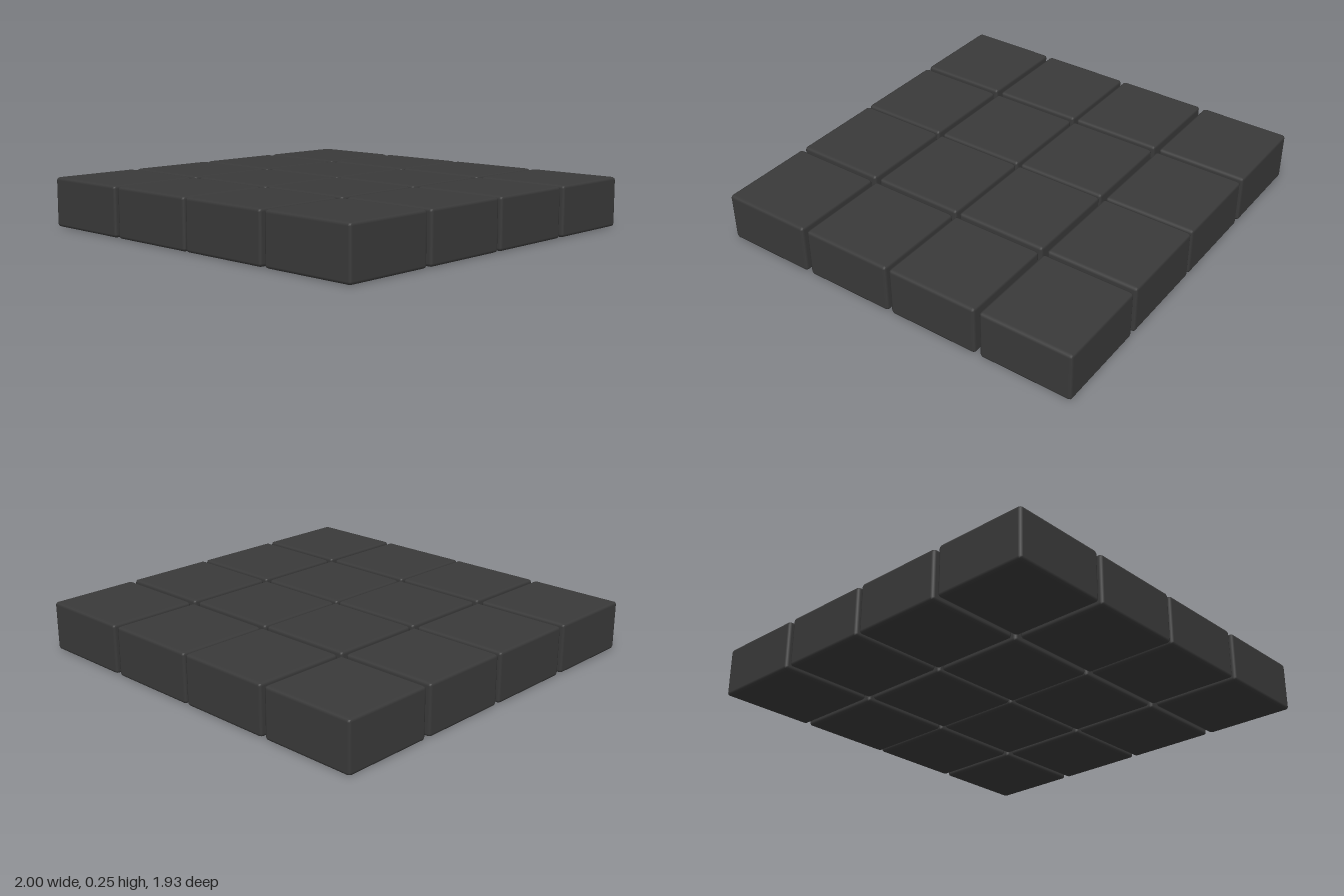
import * as THREE from 'three';
import { RoundedBoxGeometry } from 'three/addons/geometries/RoundedBoxGeometry.js';

const BEVEL = 0.015;
const WIDTH = 0.485, HEIGHT = 0.245, DEPTH = 0.463;

export function createModel() {
  const model = new THREE.Group();
  model.name = 'blockGrid';
  const charcoal = new THREE.MeshStandardMaterial({ color: 0x3a3a3a });
  charcoal.name = 'charcoal';

  // One single-step bevel with softly blended normals; the flat faces sit
  // a tenth of the bevel inside the nominal size, so add that back.
  const extra = BEVEL * 0.2;
  const block = new RoundedBoxGeometry(WIDTH + extra, HEIGHT + extra, DEPTH + extra, 1, BEVEL);

  // Four by four blocks with narrow gaps
  const columns = [-0.757, -0.248, 0.248, 0.757];
  const rows = [-0.733, -0.242, 0.242, 0.733];
  rows.forEach((z, r) => {
    columns.forEach((x, c) => {
      const mesh = new THREE.Mesh(block, charcoal);
      mesh.name = `blockRow${r + 1}Column${c + 1}`;
      mesh.position.set(x, HEIGHT / 2, z);
      model.add(mesh);
    });
  });
  return model;
}
